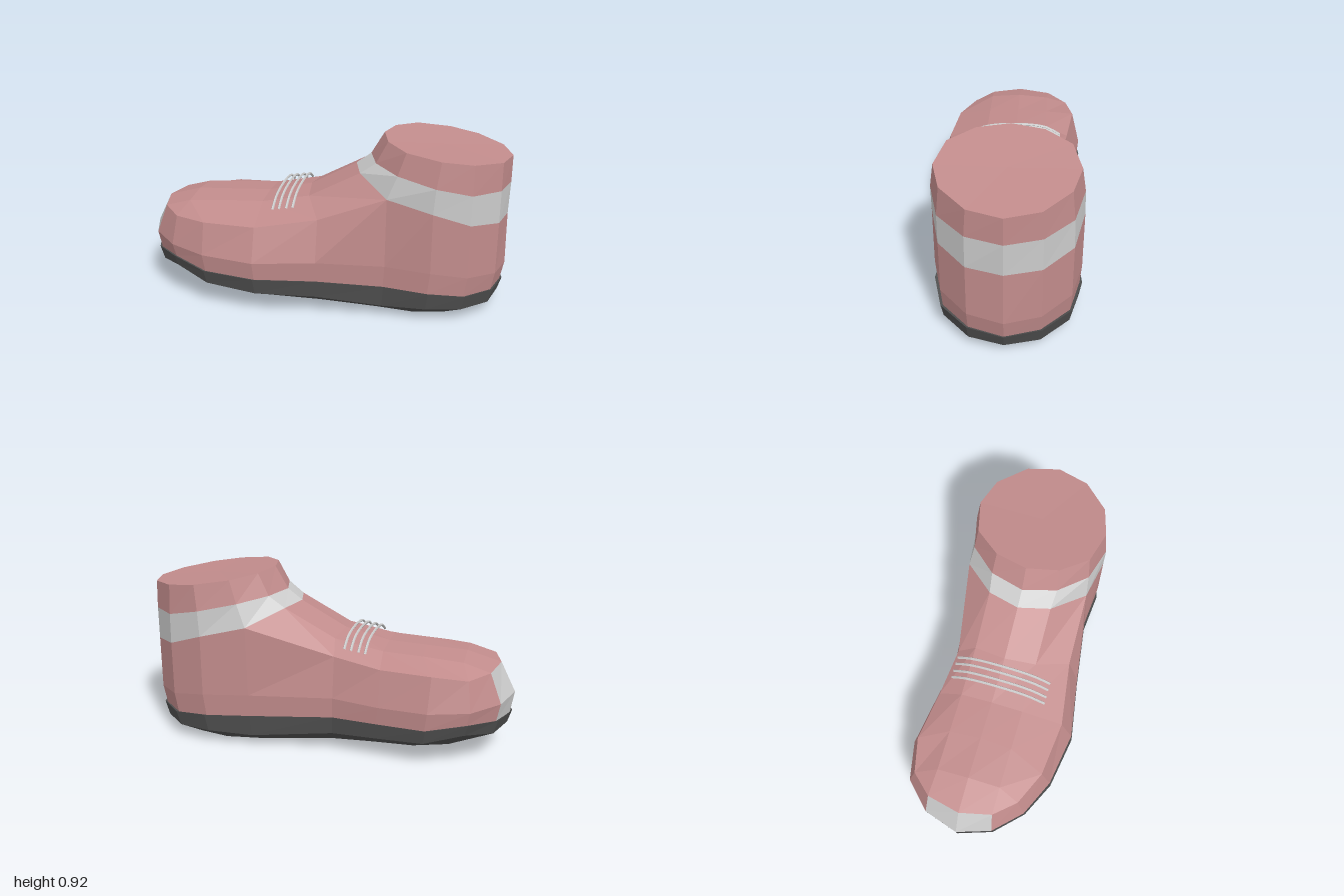
import * as THREE from 'three';

const N = 20; // points round the shoe: 0 = toe tip, 10 = heel, 1-9 on the +z side
const AXIS = -0.04; // z of the long axis

// Plan outline [x, z]
const OUTLINE = [
  [-1, -0.04], [-0.94, 0.14], [-0.8, 0.28], [-0.6, 0.37], [-0.31, 0.415],
  [0.02, 0.36], [0.38, 0.31], [0.62, 0.33], [0.81, 0.28], [0.95, 0.14],
  [1, -0.04], [0.95, -0.22], [0.81, -0.365], [0.62, -0.415], [0.37, -0.39],
  [-0.08, -0.34], [-0.33, -0.38], [-0.59, -0.415], [-0.8, -0.37], [-0.94, -0.23],
];

// Ring on the outline, scaled about the long axis; heights run from toe to heel
function outlineRing(heights, sx, sz) {
  return OUTLINE.map(([x, z], i) =>
    [x * sx, heights[Math.min(i, N - i)], AXIS + (z - AXIS) * sz]);
}

const mirrorZ = ([x, y, z]) => [x, y, 2 * AXIS - z];

// Quads between two lists of points, from index i0 to i1 (wraps round)
function strip(a, b, i0 = 0, i1 = a.length - 1) {
  const out = [];
  for (let i = i0; i < i1; i++) {
    const p = i % a.length, q = (i + 1) % a.length;
    out.push(a[p], a[q], b[q], a[p], b[q], b[p]);
  }
  return out;
}

function mesh(name, points, material) {
  // drop triangles that collapse where rows share a point
  const kept = [];
  for (let i = 0; i < points.length; i += 3) {
    const [a, b, c] = points.slice(i, i + 3);
    if (a !== b && b !== c && a !== c) kept.push(...a, ...b, ...c);
  }
  const geo = new THREE.BufferGeometry();
  geo.setAttribute('position', new THREE.Float32BufferAttribute(kept, 3));
  geo.computeVertexNormals();
  const m = new THREE.Mesh(geo, material);
  m.name = name;
  return m;
}

export function createModel() {
  const group = new THREE.Group();
  group.name = 'shoe';
  const mat = (color) => new THREE.MeshStandardMaterial({ color, flatShading: true });
  const fabric = mat(0xc28c8c), trim = mat(0xcccccc), rubber = mat(0x505050);

  // Side wall: seam at the sole, widest line, crease line
  const seam = outlineRing([0.2, 0.22, 0.235, 0.2, 0.195, 0.19, 0.17, 0.16, 0.14, 0.13, 0.12], 0.98, 0.98);
  const wide = outlineRing([0.32, 0.315, 0.305, 0.295, 0.29, 0.3, 0.29, 0.28, 0.25, 0.23, 0.22], 1, 1);
  const crease = [
    [-0.92, 0.48, -0.04], [-0.88, 0.475, 0.13], [-0.78, 0.46, 0.24], [-0.6, 0.465, 0.32],
    [-0.31, 0.47, 0.35], [0.02, 0.52, 0.3], [0.38, 0.655, 0.29], [0.62, 0.605, 0.33],
    [0.81, 0.54, 0.28], [0.95, 0.515, 0.14], [0.995, 0.51, -0.04], [0.95, 0.515, -0.22],
    [0.81, 0.54, -0.365], [0.62, 0.605, -0.415], [0.38, 0.66, -0.38], [-0.08, 0.52, -0.305],
    [-0.33, 0.48, -0.335], [-0.6, 0.48, -0.37], [-0.78, 0.46, -0.33], [-0.88, 0.475, -0.22],
  ];
  group.add(mesh('sideWall', [...strip(seam, wide, 1, 19), ...strip(wide, crease, 1, 19)], fabric));
  group.add(mesh('toeCap', [...strip(seam, wide, 19, 21), ...strip(wide, crease, 19, 21)], trim));

  // Vamp: rows across the foot, [x mid, y mid, x side, y side] for the inner points
  const crown = [
    [-0.74, 0.53, -0.74, 0.515], [-0.52, 0.54, -0.53, 0.53], [-0.32, 0.55, -0.32, 0.54],
    [-0.08, 0.605, -0.06, 0.59], [0.17, 0.74, 0.215, 0.735],
  ];
  const rows = [[crease[1], crease[1], crease[0], crease[19], crease[19]]];
  crown.forEach(([xm, ym, xs, ys], k) => {
    const side = [xs, ys, 0.13];
    rows.push([crease[k + 2], side, [xm, ym, AXIS], mirrorZ(side), crease[18 - k]]);
  });
  const vamp = [];
  for (let r = 0; r < rows.length - 1; r++) vamp.push(...strip(rows[r + 1], rows[r]));
  group.add(mesh('vamp', vamp, fabric));

  // Twelve-sided ankle: half profile from front to heel, mirrored
  const ankleRing = (half) => [
    ...half.slice(2), ...half.slice(1, 6).reverse().map(mirrorZ), half[0], half[1],
  ];
  const front = rows[5];
  const bandLow = [...crease.slice(6, 15), front[3], front[2], front[1]];
  const bandTop = ankleRing([
    [0.25, 0.8, AXIS], [0.3, 0.798, 0.14], [0.43, 0.78, 0.28], [0.63, 0.74, 0.33],
    [0.81, 0.7, 0.28], [0.95, 0.69, 0.14], [1, 0.685, AXIS],
  ]);
  const rim = ankleRing([
    [0.32, AXIS], [0.36, 0.13], [0.47, 0.265], [0.65, 0.31],
    [0.81, 0.265], [0.95, 0.13], [1, AXIS],
  ].map(([x, z]) => [x, 0.92 - 0.13 * (x - 0.32), z]));
  group.add(mesh('ankleBand', strip(bandLow, bandTop, 0, 12), trim));
  group.add(mesh('collar', strip(bandTop, rim, 0, 12), fabric));
  const centre = [0.65, 0.872, AXIS];
  group.add(mesh('collarTop', rim.flatMap((p, i) => [centre, p, rim[(i + 1) % 12]]), fabric));

  // Sole: ledge, outer wall, bevel and tread
  const lip = outlineRing([0.215, 0.225, 0.24, 0.205, 0.2, 0.195, 0.175, 0.165, 0.145, 0.135, 0.125], 0.992, 1.015);
  const base = outlineRing([0.145, 0.15, 0.18, 0.13, 0.115, 0.1, 0.058, 0.07, 0.065, 0.055, 0.055], 0.97, 0.98);
  const tread = outlineRing([0.135, 0.12, 0.085, 0.07, 0.055, 0.035, 0.005, 0, 0, 0, 0], 0.86, 0.72);
  group.add(mesh('soleWall', [...strip(lip, seam, 0, N), ...strip(base, lip, 0, N)], rubber));
  const bottom = strip(tread, base, 0, N);
  for (let i = 0; i < 10; i++) {
    bottom.push(...strip([tread[i], tread[(N - i) % N]], [tread[i + 1], tread[N - i - 1]]));
  }
  group.add(mesh('soleBottom', bottom, rubber));

  // Four laces arched over the vamp
  [-0.24, -0.205, -0.165, -0.13].forEach((x, i) => {
    const lift = i * 0.006;
    const path = new THREE.CatmullRomCurve3([
      [0.23, 0.53], [0.14, 0.578], [-0.04, 0.6], [-0.21, 0.585], [-0.29, 0.54],
    ].map(([z, y]) => new THREE.Vector3(x, y + lift, z)));
    const lace = new THREE.Mesh(new THREE.TubeGeometry(path, 12, 0.007, 6), trim);
    lace.name = 'lace';
    group.add(lace);
  });
  return group;
}
